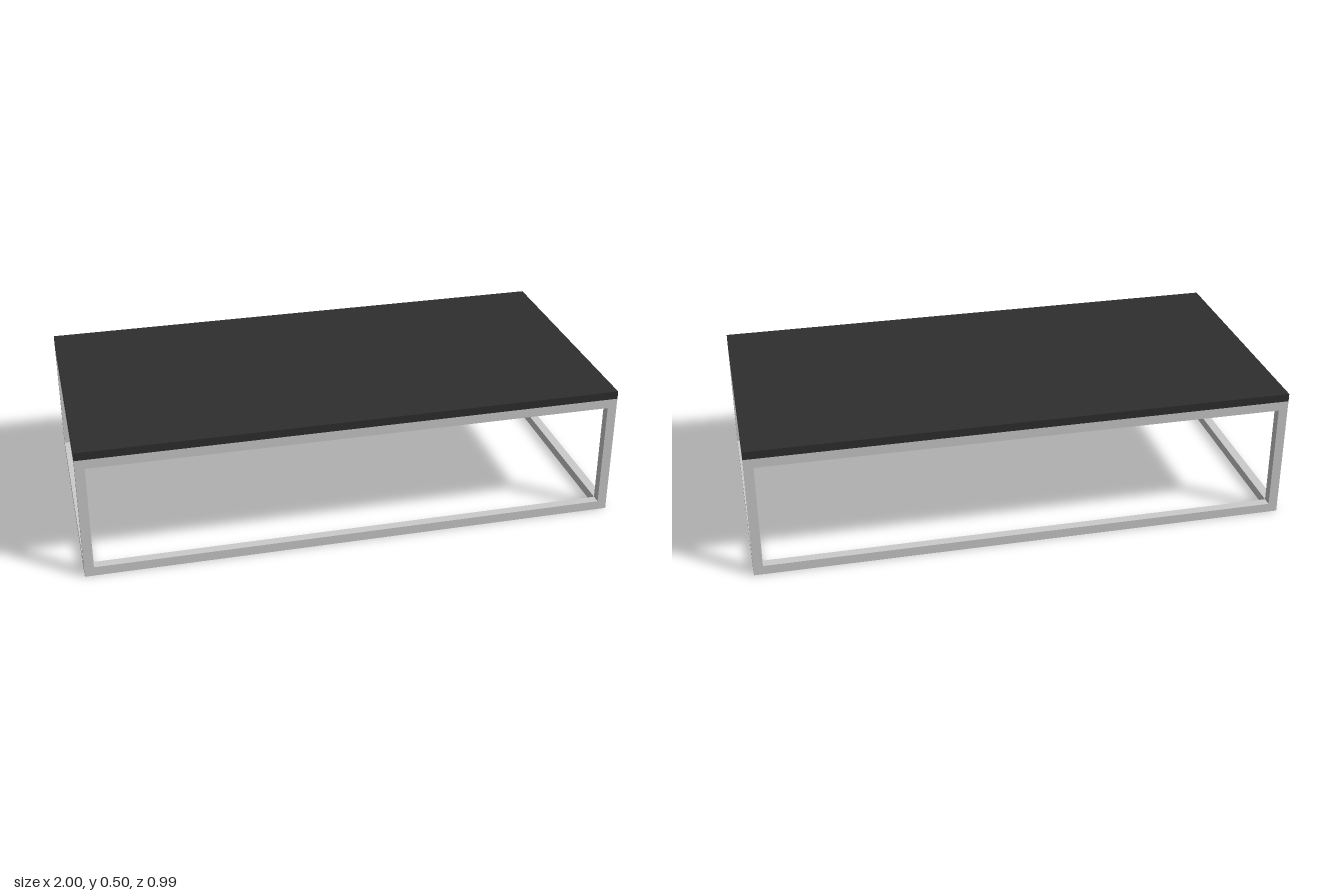
import * as THREE from 'three';

const WIDTH = 2, DEPTH = 0.99, BAR = 0.035;
const FRAME_HEIGHT = 0.475, TOP_THICKNESS = 0.03;

export function createModel() {
  const table = new THREE.Group();
  table.name = 'coffeeTable';
  const metal = new THREE.MeshStandardMaterial({ color: 0xcccccc });
  const dark = new THREE.MeshStandardMaterial({ color: 0x2e2e2e });

  const addBox = (parent, name, material, size, position) => {
    const mesh = new THREE.Mesh(new THREE.BoxGeometry(...size), material);
    mesh.name = name;
    mesh.position.set(...position);
    parent.add(mesh);
  };

  // Table top slab
  addBox(table, 'tableTop', dark, [WIDTH, TOP_THICKNESS, DEPTH],
    [0, FRAME_HEIGHT + TOP_THICKNESS / 2, 0]);

  // Square-bar frame: bars meet end to end without overlapping
  const frame = new THREE.Group();
  frame.name = 'frame';
  table.add(frame);
  const x = (WIDTH - BAR) / 2, z = (DEPTH - BAR) / 2;

  // Lower and upper rectangles of rails
  for (const [level, y] of [['lower', BAR / 2], ['upper', FRAME_HEIGHT - BAR / 2]]) {
    for (const s of [1, -1]) {
      addBox(frame, level + (s > 0 ? 'FrontRail' : 'BackRail'), metal,
        [WIDTH, BAR, BAR], [0, y, s * z]);
      addBox(frame, level + (s > 0 ? 'LeftRail' : 'RightRail'), metal,
        [BAR, BAR, DEPTH - 2 * BAR], [s * x, y, 0]);
    }
  }

  // Corner legs between the rails
  for (const sx of [1, -1]) {
    for (const sz of [1, -1]) {
      addBox(frame, (sz > 0 ? 'front' : 'back') + (sx > 0 ? 'Left' : 'Right') + 'Leg', metal,
        [BAR, FRAME_HEIGHT - 2 * BAR, BAR], [sx * x, FRAME_HEIGHT / 2, sz * z]);
    }
  }

  return table;
}
